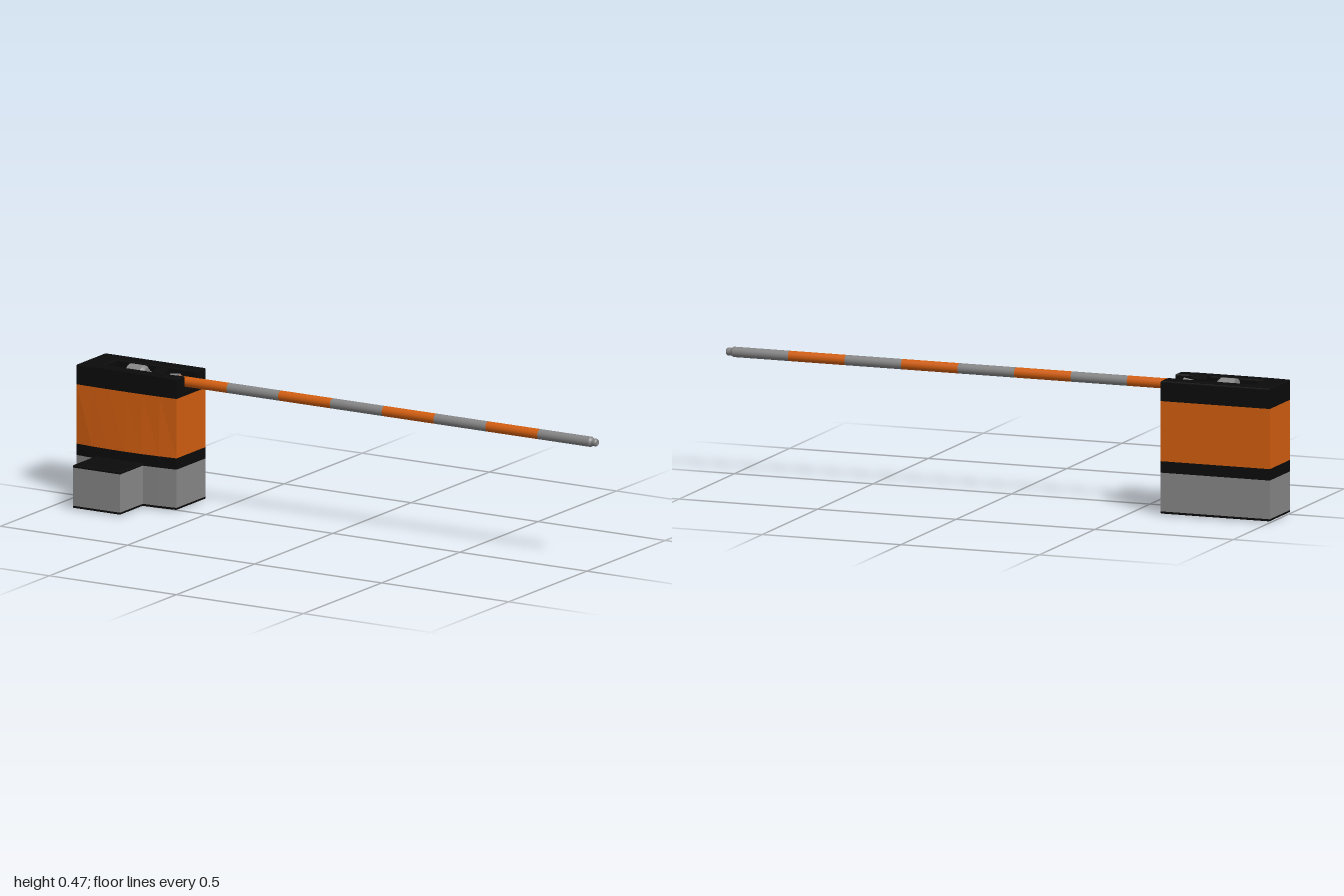
import * as THREE from 'three';

const GREY = new THREE.MeshStandardMaterial({ color: 0x868686 });
const BLACK = new THREE.MeshStandardMaterial({ color: 0x0b0b0b });
const ORANGE = new THREE.MeshStandardMaterial({ color: 0xd25e10 });

const LEFT = -1, RIGHT = -0.606, MID = (LEFT + RIGHT) / 2, BACK = -0.17, CORNER = 0.015;
const BAR_Y = 0.429, BAR_Z = -0.068;

function add(parent, name, geometry, material) {
  const mesh = new THREE.Mesh(geometry, material);
  mesh.name = name;
  parent.add(mesh);
  return mesh;
}

// Extrudes a plan of [x, z] points from y0 to y1, with an optional small bevel
function slab(plan, y0, y1, bevel = 0) {
  const shape = new THREE.Shape(plan.map(([x, z]) => new THREE.Vector2(x, -z)));
  const g = new THREE.ExtrudeGeometry(shape, {
    depth: y1 - y0 - 2 * bevel, bevelEnabled: bevel > 0, bevelThickness: bevel,
    bevelSize: bevel, bevelOffset: -bevel, bevelSegments: 3,
  });
  return g.rotateX(-Math.PI / 2).translate(0, y0 + bevel, 0);
}

// Housing plan: square back, bowed front, optional slot open to the right end
function housingPlan(slot) {
  const plan = [[LEFT, BACK], [LEFT, CORNER]];
  for (let i = 1; i < 6; i++) {
    const u = i / 3 - 1;
    plan.push([MID + u * (RIGHT - MID), CORNER + 0.013 * (1 - u * u)]);
  }
  plan.push([RIGHT, CORNER]);
  if (slot) plan.push([RIGHT, -0.036], [-0.65, -0.03], [-0.918, -0.03], [-0.918, -0.112], [-0.65, -0.112], [RIGHT, -0.106]);
  plan.push([RIGHT, BACK]);
  return plan;
}

// The bow of the front flattens out towards the top
function housing(y0, y1, bevel = 0, slot = false) {
  const g = slab(housingPlan(slot), y0, y1, bevel);
  const p = g.attributes.position;
  for (let i = 0; i < p.count; i++) {
    const t = THREE.MathUtils.clamp((p.getY(i) - 0.15) / 0.31, 0, 1);
    if (p.getZ(i) > CORNER) p.setZ(i, CORNER + (p.getZ(i) - CORNER) * (1 - 0.85 * t));
  }
  g.computeVertexNormals();
  return g;
}

// Cylinder lying along x
function rod(x0, x1, r0, r1 = r0) {
  return new THREE.CylinderGeometry(r1, r0, x1 - x0, 28)
    .rotateZ(-Math.PI / 2).translate((x0 + x1) / 2, BAR_Y, BAR_Z);
}

export function createModel() {
  const model = new THREE.Group();
  model.name = 'barrierGate';

  // Housing, from the ground up
  const cabinet = new THREE.Group();
  cabinet.name = 'cabinet';
  model.add(cabinet);
  add(cabinet, 'basePlate', housing(0.004, 0.016, 0.004), BLACK);
  add(cabinet, 'lowerBody', housing(0.012, 0.144), GREY);
  add(cabinet, 'middleBand', housing(0.144, 0.183), BLACK);
  add(cabinet, 'upperBody', housing(0.183, 0.388), ORANGE);
  add(cabinet, 'slotFloor', housing(0.388, 0.402), BLACK);
  add(cabinet, 'topCap', housing(0.392, 0.457, 0.005, true), BLACK);

  // Front pod
  const pod = new THREE.Group();
  pod.name = 'frontPod';
  model.add(pod);
  const podPlan = [[-0.918, 0], [-0.918, 0.171], [-0.732, 0.171], [-0.732, 0]];
  add(pod, 'podBasePlate', slab(podPlan, 0.004, 0.016, 0.004), BLACK);
  add(pod, 'podBody', slab(podPlan, 0.012, 0.144), GREY);
  add(pod, 'podLid', slab(podPlan, 0.14, 0.153, 0.004), BLACK);

  // Small feet
  for (const x of [-0.88, -0.775]) for (const z of [0.018, 0.105]) {
    add(model, 'foot', new THREE.CylinderGeometry(0.003, 0.002, 0.006, 12).translate(x, 0.003, z), BLACK);
  }

  // Pivot hub and shaft inside the slot
  const pivot = new THREE.Group();
  pivot.name = 'pivot';
  model.add(pivot);
  add(pivot, 'hub', rod(-0.84, -0.785, 0.034), GREY);
  add(pivot, 'hubCollar', rod(-0.785, -0.775, 0.034, 0.026), GREY);
  add(pivot, 'shaft', rod(-0.78, -0.69, 0.017), GREY);
  add(pivot, 'shaftSocket', rod(-0.69, -0.65, 0.018, 0.024), GREY);

  // Wedge-shaped latch leaning over the shaft
  const latch = new THREE.Shape(
    [[0.026, 0.455], [0.06, 0.467], [0.064, 0.45], [0.045, 0.43], [0.04, 0.4], [0.028, 0.4]]
      .map(([x, y]) => new THREE.Vector2(x, y)));
  add(pivot, 'latch', new THREE.ExtrudeGeometry(latch, { depth: 0.05, bevelEnabled: false })
    .rotateY(Math.PI / 2).translate(-0.73, 0, 0), BLACK);

  // Striped boom
  const boom = new THREE.Group();
  boom.name = 'boom';
  model.add(boom);
  const stripes = [-0.655, -0.45, -0.247, -0.043, 0.161, 0.365, 0.569, 0.773, 0.975];
  for (let i = 0; i < stripes.length - 1; i++) {
    add(boom, 'boomStripe', rod(stripes[i], stripes[i + 1], 0.0175), i % 2 ? GREY : ORANGE);
  }
  add(boom, 'boomTipTaper', rod(0.975, 0.982, 0.0175, 0.013), GREY);
  add(boom, 'boomTip', rod(0.982, 0.996, 0.013), GREY);
  add(boom, 'boomTipEnd', rod(0.996, 1, 0.013, 0.01), GREY);

  return model;
}
